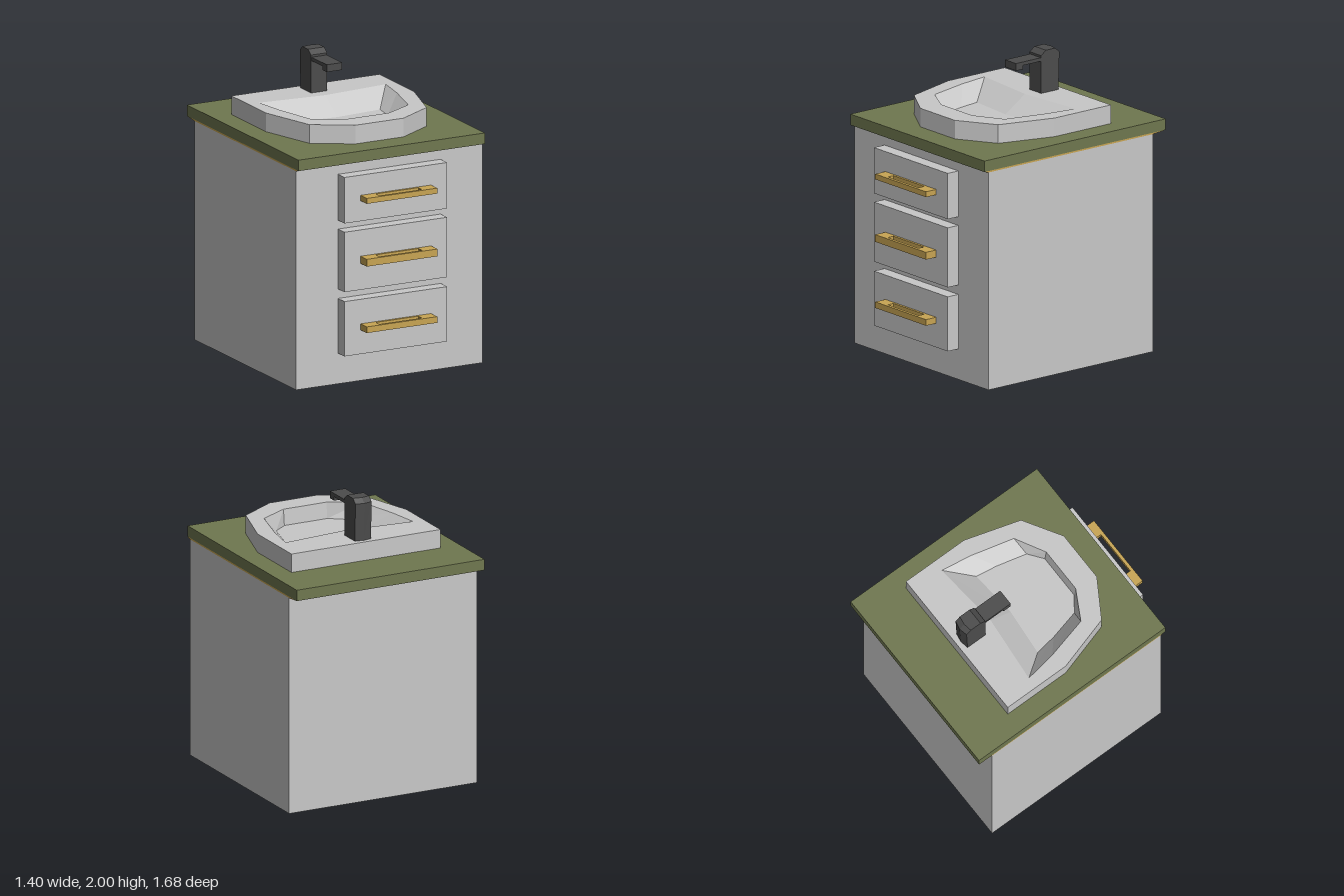
import * as THREE from 'three';

const mat = (name, color) => {
  const m = new THREE.MeshStandardMaterial({ color, side: THREE.DoubleSide, flatShading: true });
  m.name = name;
  return m;
};

// Flat-sided skin through matching rings of [x, y, z] points, with an optional convex end cap
function loft(rings, cap = false) {
  const pos = [];
  const tri = (...pts) => pts.forEach(p => pos.push(...p));
  for (let r = 0; r < rings.length - 1; r++) {
    const a = rings[r], b = rings[r + 1];
    for (let i = 0; i < a.length; i++) {
      const j = (i + 1) % a.length;
      tri(a[i], a[j], b[j]);
      tri(a[i], b[j], b[i]);
    }
  }
  if (cap) {
    const e = rings[rings.length - 1];
    for (let i = 1; i < e.length - 1; i++) tri(e[0], e[i], e[i + 1]);
  }
  const g = new THREE.BufferGeometry();
  g.setAttribute('position', new THREE.Float32BufferAttribute(pos, 3));
  g.computeVertexNormals();
  return g;
}

const rect = (w, lo, hi) => [[-w, lo], [w, lo], [w, hi], [-w, hi]];
const atZ = (pts, z) => pts.map(([x, y]) => [x, y, z]);   // upright ring
const atY = (pts, y) => pts.map(([x, z]) => [x, y, z]);   // level ring
const floorRect = (w, back, front) => [[-w, front], [w, front], [w, back], [-w, back]];
const toVec = pts => pts.map(([x, y]) => new THREE.Vector2(x, y));

// Flat panel with holes, facing +z
function panel(outline, holes = []) {
  const s = new THREE.Shape(toVec(outline));
  holes.forEach(h => s.holes.push(new THREE.Path(toVec(h))));
  return s;
}

// Mirrors the +x half of a level outline (listed back to front) into a loop seen from above
function mirrored(half) {
  const left = half.filter(p => p[0] > 0).map(([x, z]) => [-x, z]);
  return [...left, ...half.slice().reverse()];
}

export function createModel() {
  const group = new THREE.Group();
  const grey = mat('light grey', 0xc8c8c8);
  const green = mat('olive green', 0x6f774f);
  const gold = mat('brass', 0xc8a553);
  const dark = mat('dark metal', 0x4c4c4c);
  const add = (name, geo, material) => {
    const m = new THREE.Mesh(geo, material);
    m.name = name;
    group.add(m);
    return m;
  };

  // Cabinet shell, open at the bottom, with drawer openings in the front
  const W = 0.7, FRONT = 0.665, BACK = -0.735, TOP = 1.497;
  const drawers = [
    { y: [1.12, 1.435], handle: [1.26, 1.297] },
    { y: [0.65, 1.06], handle: [0.83, 0.88] },
    { y: [0.21, 0.585], handle: [0.375, 0.417] },
  ];
  const openings = drawers.map(d => rect(0.385, ...d.y));
  add('cabinetFront', new THREE.ShapeGeometry(panel(rect(W, 0, TOP), openings)).translate(0, 0, FRONT), grey);
  add('cabinetBack', new THREE.PlaneGeometry(2 * W, TOP).rotateY(Math.PI).translate(0, TOP / 2, BACK), grey);
  for (const s of [-1, 1]) {
    add('cabinetSide', new THREE.PlaneGeometry(FRONT - BACK, TOP).rotateY(s * Math.PI / 2)
      .translate(s * W, TOP / 2, (FRONT + BACK) / 2), grey);
  }

  // Hollow drawer fronts with slotted bar handles
  drawers.forEach((d, i) => {
    const grip = rect(0.265, ...d.handle);
    add('drawerSides', loft([atZ(openings[i], FRONT), atZ(openings[i], 0.755)]), grey);
    add('drawerFront', new THREE.ShapeGeometry(panel(openings[i], [grip])).translate(0, 0, 0.755), grey);
    const bar = panel(rect(0.265, -0.842, -0.755), [rect(0.16, -0.82, -0.772)]);
    const geo = new THREE.ExtrudeGeometry(bar, { depth: d.handle[1] - d.handle[0], bevelEnabled: false });
    add('drawerHandle', geo.rotateX(-Math.PI / 2).translate(0, d.handle[0], 0), gold);
  });

  // Countertop and the sloped underside of its overhang
  const slab = floorRect(W, -0.843, 0.7);
  add('countertop', loft([atY(slab, 1.507), atY(slab, 1.582)], true), green);
  add('countertopUnderside', loft([atY(floorRect(W, BACK, FRONT), TOP), atY(slab, 1.507)]), gold);

  // Basin: outer wall, rim with opening, sloping bowl and floor
  const RIM = 1.71, BOWL = 1.6;
  const outer = mirrored([[0.555, -0.495], [0.555, -0.015], [0.44, 0.37], [0.18, 0.528]]);
  const mouth = mirrored([[0, -0.215], [0.475, -0.26], [0.44, -0.04], [0.365, 0.255], [0.16, 0.367]]);
  const base = mirrored([[0, -0.05], [0.335, -0.08], [0.312, 0.07], [0.26, 0.28], [0.16, 0.355]]);
  const flip = pts => pts.map(([x, z]) => [x, -z]);
  const flat = (outline, holes, y) => new THREE.ShapeGeometry(panel(flip(outline), holes.map(flip)))
    .rotateX(-Math.PI / 2).translate(0, y, 0);
  add('basinWall', loft([atY(outer, 1.58), atY(outer, RIM)]), grey);
  add('basinRim', flat(outer, [mouth], RIM), grey);
  add('basinBowl', loft([atY(base, BOWL), atY(mouth, RIM)].reverse()), grey);
  add('basinFloor', flat(base, [], BOWL), grey);

  // Faucet: tapered column with bevelled top, flat spout and nozzle
  const column = (front, side, peak) => [[-0.06, front], [0.06, front], [0.06, side], [0, peak], [-0.06, side]];
  add('faucetColumn', loft([
    atY(column(-0.305, -0.452, -0.462), RIM),
    atY(column(-0.305, -0.46, -0.473), 1.97),
    atY(column(-0.345, -0.425, -0.435), 2),
  ], true), dark);
  add('faucetSpout', new THREE.BoxGeometry(0.114, 0.024, 0.23).translate(0, 1.943, -0.208), dark);
  add('faucetNozzle', new THREE.BoxGeometry(0.114, 0.028, 0.06).translate(0, 1.919, -0.123), dark);

  return group;
}
